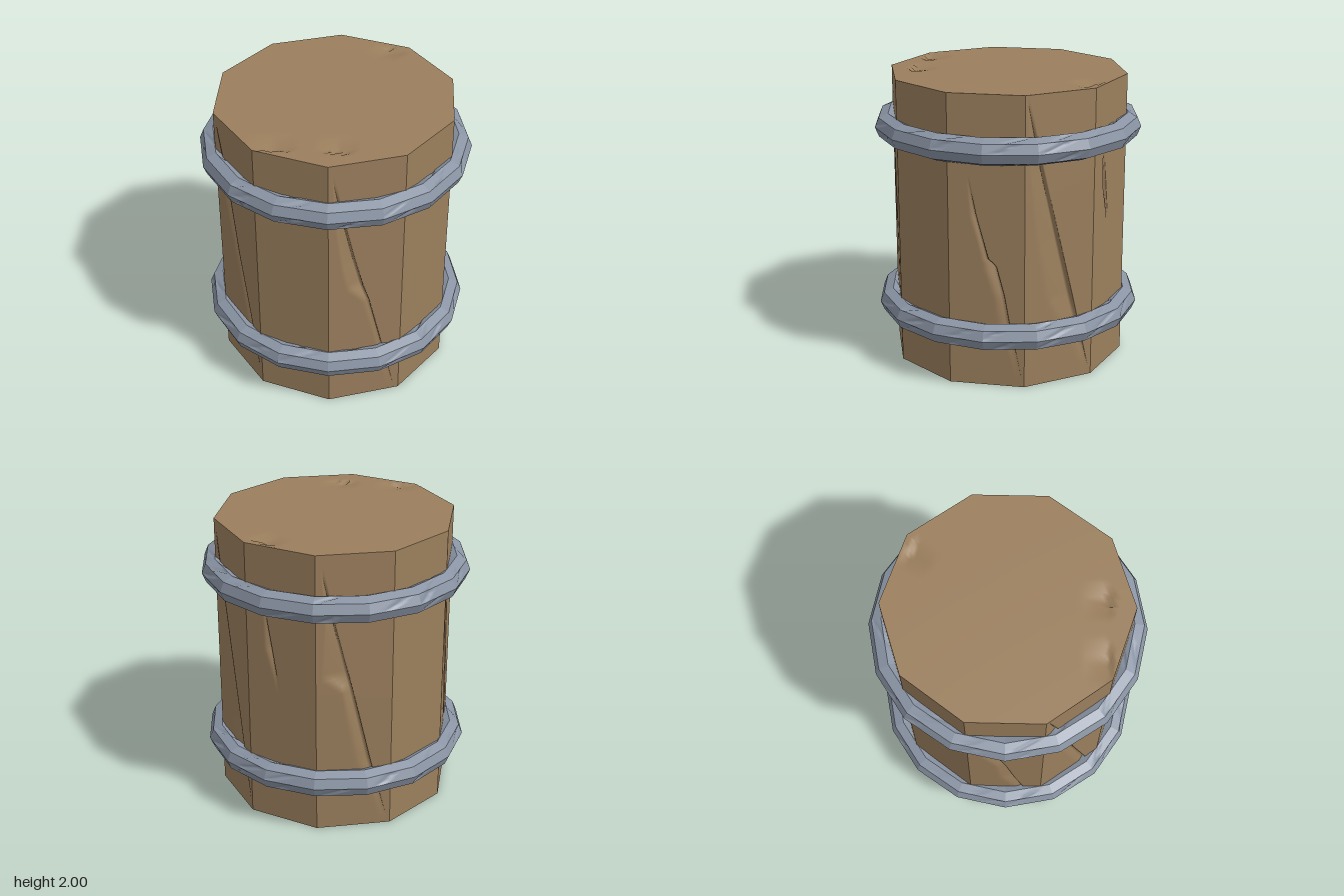
import * as THREE from 'three';
import { mergeGeometries } from 'three/addons/utils/BufferGeometryUtils.js';

const SIDES = 10, RADIUS = 0.82, HEIGHT = 2;

// Cracks per side panel: [height, position across panel 0..1, width, depth]
const CRACKS = {
  0: [[1.9, 0.06, 0, 0], [1.6, 0.18, 0.1, 0.02], [1.2, 0.36, 0.18, 0.045], [1.0, 0.46, 0.2, 0.045],
    [0.88, 0.54, 0.05, 0.02], [0.4, 0.76, 0.04, 0.015], [0.03, 0.93, 0, 0]],
  2: [[1.45, 0.26, 0, 0], [1.2, 0.36, 0.06, 0.02], [0.9, 0.52, 0.05, 0.02], [0.86, 0.62, 0.14, 0.04],
    [0.65, 0.73, 0.1, 0.03], [0.45, 0.8, 0.12, 0.02], [0.05, 0.97, 0, 0]],
  3: [[1.98, 0.03, 0, 0], [1.5, 0.25, 0.18, 0.03], [1.0, 0.5, 0.3, 0.04], [0.6, 0.7, 0.35, 0.04], [0.05, 0.96, 0, 0]],
  4: [[1.6, 0.26, 0, 0], [1.3, 0.36, 0.08, 0.025], [1.0, 0.46, 0, 0]],
  5: [[1.9, 0.08, 0, 0], [1.5, 0.25, 0.12, 0.03], [1.15, 0.42, 0.34, 0.045], [1.05, 0.47, 0.12, 0.035],
    [0.5, 0.72, 0.15, 0.025], [0.05, 0.95, 0, 0]],
  7: [[1.75, 0.1, 0, 0], [1.3, 0.33, 0.2, 0.035], [1.0, 0.5, 0.12, 0.02], [0.7, 0.62, 0.18, 0.03], [0.05, 0.95, 0, 0]],
  8: [[1.97, 0.04, 0, 0], [1.55, 0.28, 0.18, 0.035], [1.0, 0.5, 0.12, 0.025], [0.5, 0.76, 0.12, 0.03], [0.05, 0.96, 0, 0]],
};

// Crack values at a given height, interpolated between its points
function crackAt(path, y) {
  const n = path.length;
  if (y >= path[0][0]) return [path[0][1], 0, 0];
  for (let i = 1; i < n; i++) {
    const p = path[i - 1], q = path[i];
    if (y >= q[0]) {
      const t = (p[0] - y) / (p[0] - q[0]);
      return [1, 2, 3].map((k) => THREE.MathUtils.lerp(p[k], q[k], t));
    }
  }
  return [path[n - 1][1], 0, 0];
}

// Four-cornered grid; rule(s, v, point) may return [across, depth] to bend and sink it.
// Corners run bottom left, bottom right, top right, top left as seen from outside.
function patch(a, b, c, d, nu, nv, normal, rule) {
  const pos = [], index = [];
  const left = new THREE.Vector3(), right = new THREE.Vector3(), p = new THREE.Vector3();
  for (let j = 0; j <= nv; j++) {
    const v = j / nv;
    left.lerpVectors(a, d, v);
    right.lerpVectors(b, c, v);
    for (let i = 0; i <= nu; i++) {
      const s = i / nu;
      p.lerpVectors(left, right, s);
      const [u, depth] = rule(s, v, p);
      p.lerpVectors(left, right, u).addScaledVector(normal, -depth);
      pos.push(p.x, p.y, p.z);
      if (i < nu && j < nv) {
        const k = j * (nu + 1) + i, m = k + nu + 1;
        index.push(k, k + 1, m + 1, k, m + 1, m);
      }
    }
  }
  const g = new THREE.BufferGeometry();
  g.setAttribute('position', new THREE.Float32BufferAttribute(pos, 3));
  g.setIndex(index);
  g.computeVertexNormals();
  return g;
}

const corner = (i, y) => {
  const t = (i / SIDES) * Math.PI * 2;
  return new THREE.Vector3(RADIUS * Math.sin(t), y, RADIUS * Math.cos(t));
};

function sidePanel(i) {
  const path = CRACKS[i];
  const t = ((i + 0.5) / SIDES) * Math.PI * 2;
  const normal = new THREE.Vector3(Math.sin(t), 0, Math.cos(t));
  const args = [corner(i, 0), corner(i + 1, 0), corner(i + 1, HEIGHT), corner(i, HEIGHT)];
  if (!path) return patch(...args, 1, 1, normal, (s) => [s, 0]);
  // The middle grid column follows the crack: a steep right lip and a sloping left side
  return patch(...args, 32, 80, normal, (s, v) => {
    const [mid, width, depth] = crackAt(path, v * HEIGHT);
    const u = s < 0.5 ? s * 2 * mid : mid + Math.pow((s - 0.5) * 2, 1.6) * (1 - mid);
    const edge = s === 0 || s === 1 || u > mid + 1e-6 || width < 1e-4;
    return [u, edge ? 0 : depth * Math.max(0, 1 - (mid - u) / width)];
  });
}

// Chips in the end faces, steep on the outer side
function chipDepth(p) {
  const chip = (x, z, halfWidth, outer, cx) => {
    const t = (z - outer + 0.18) / 0.18;
    return t > 0 && t <= 1 ? 0.03 * t * Math.max(0, 1 - Math.abs(x - cx) / halfWidth) : 0;
  };
  const back = (p.x * 0.588 - p.z * 0.809);
  const along = p.x * 0.809 + p.z * 0.588;
  return Math.max(chip(p.x, p.z, 0.15, 0.655, -0.36), chip(p.x, p.z, 0.13, 0.655, 0.05),
    chip(along, back, 0.12, 0.74, -0.08));
}

function endWedge(i, y) {
  const up = y > 0;
  const c = new THREE.Vector3(0, y, 0);
  const [r, l] = up ? [i, i + 1] : [i + 1, i];
  return patch(c, c, corner(r, y), corner(l, y), 18, 30, new THREE.Vector3(0, up ? 1 : -1, 0),
    (s, v, p) => [s, chipDepth(p)]);
}

// Faceted hoop with slanting scratches hammered into its facets
function hoopGeometry(seed) {
  let state = seed;
  const rand = () => (state = (state * 16807) % 2147483647) / 2147483647;
  const AROUND = 16, RIM = 8, R = 0.83, r = 0.092;
  const at = (i, j) => {
    const t = (i / AROUND) * Math.PI * 2, f = (j / RIM) * Math.PI * 2;
    const d = R + r * Math.cos(f);
    return new THREE.Vector3(d * Math.sin(t), r * Math.sin(f), d * Math.cos(t));
  };
  const parts = [];
  for (let i = 0; i < AROUND; i++) for (let j = 0; j < RIM; j++) {
    const a = at(i, j), b = at(i + 1, j), c = at(i + 1, j + 1), d = at(i, j + 1);
    const normal = b.clone().sub(a).cross(d.clone().sub(a)).normalize();
    const start = rand() * 0.5, run = 0.3 + rand() * 0.3, depth = rand() < 0.7 ? 0.012 : 0;
    parts.push(patch(a, b, c, d, 10, 6, normal, (s, v) => {
      if (s === 0 || s === 1 || v === 0 || v === 1) return [s, 0];
      const off = start + run * v - s;
      return [s, off >= 0 && off < 0.2 ? depth * (1 - off / 0.2) : 0];
    }));
  }
  return mergeGeometries(parts);
}

export function createModel() {
  const group = new THREE.Group();
  const wood = new THREE.MeshStandardMaterial({ color: 0x9b7f5d });
  const metal = new THREE.MeshStandardMaterial({ color: 0x8a94a4 });
  const add = (name, geometry, material, y = 0) => {
    const mesh = new THREE.Mesh(geometry, material);
    mesh.name = name;
    mesh.position.y = y;
    group.add(mesh);
  };

  // Ten-sided wooden body
  const panels = Array.from({ length: SIDES }, (_, i) => i);
  add('barrelSides', mergeGeometries(panels.map(sidePanel)), wood);
  add('barrelTop', mergeGeometries(panels.map((i) => endWedge(i, HEIGHT))), wood);
  add('barrelBottom', mergeGeometries(panels.map((i) => endWedge(i, 0))), wood);

  // Metal hoops
  add('lowerHoop', hoopGeometry(17), metal, 0.37);
  add('upperHoop', hoopGeometry(91), metal, 1.64);
  return group;
}
